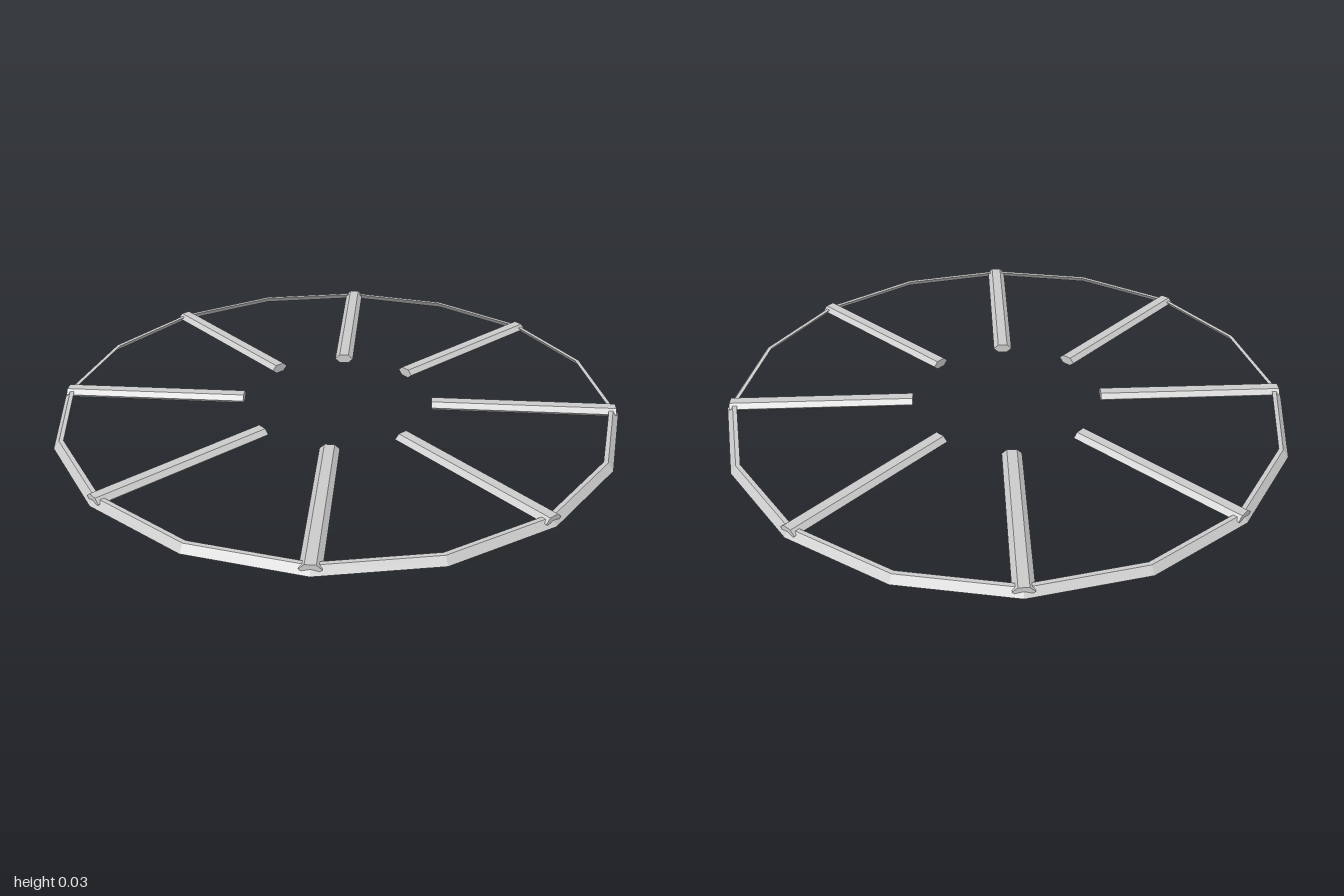
import * as THREE from 'three';

const SPOKES = 8;

export function createModel() {
  const group = new THREE.Group();
  const material = new THREE.MeshStandardMaterial({ color: 0xcccccc, flatShading: true });

  // Sixteen-sided rim: sloped outer face, flat top, undercut inner face
  const section = [[1, 0], [0.98, 0.025], [0.965, 0.025], [0.988, 0], [1, 0]];
  const rim = new THREE.Mesh(
    new THREE.LatheGeometry(section.map(([r, y]) => new THREE.Vector2(r, y)), SPOKES * 2),
    material
  );
  rim.name = 'rim';
  group.add(rim);

  // Flattened hexagonal bars pointing at the open centre
  const inner = 0.338, outer = 0.987, w = 0.034, h = 0.032;
  const hexagon = new THREE.Shape(
    [[-w, h / 2], [-w / 2, 0], [w / 2, 0], [w, h / 2], [w / 2, h], [-w / 2, h]]
      .map(([x, y]) => new THREE.Vector2(x, y))
  );
  const bar = new THREE.ExtrudeGeometry(hexagon, { depth: outer - inner, bevelEnabled: false });
  bar.translate(0, 0, inner);
  for (let i = 0; i < SPOKES; i++) {
    const spoke = new THREE.Mesh(bar, material);
    spoke.name = `spoke${i + 1}`;
    spoke.rotation.y = ((i + 0.5) / SPOKES) * Math.PI * 2;
    group.add(spoke);
  }
  return group;
}
